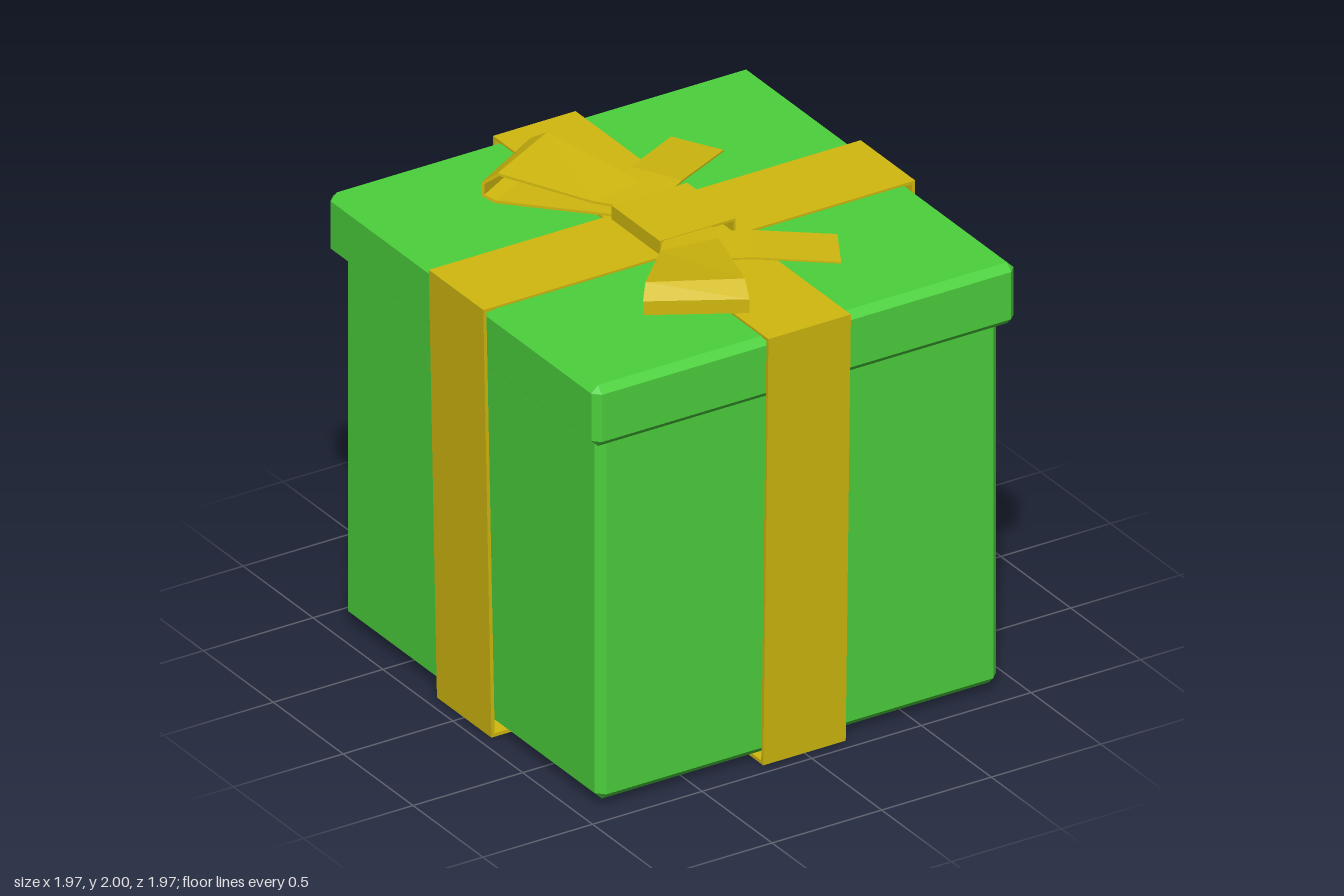
import * as THREE from 'three';
import { ConvexGeometry } from 'three/addons/geometries/ConvexGeometry.js';

const green = new THREE.MeshStandardMaterial({ color: 0x4bd03c, flatShading: true });
const gold = new THREE.MeshStandardMaterial({ color: 0xd0b80f, flatShading: true, side: THREE.DoubleSide });

const points = (list) => list.map(([x, y]) => new THREE.Vector2(x, y));

function addMesh(parent, name, geometry, material) {
  const mesh = new THREE.Mesh(geometry, material);
  mesh.name = name;
  parent.add(mesh);
  return mesh;
}

// Square box with every edge chamfered by c
function chamferBox(half, y0, y1, c) {
  const pts = [];
  for (const sx of [-1, 1]) for (const sz of [-1, 1]) for (const [y, sy] of [[y0, 1], [y1, -1]]) {
    pts.push(
      new THREE.Vector3(sx * half, y + sy * c, sz * (half - c)),
      new THREE.Vector3(sx * (half - c), y + sy * c, sz * half),
      new THREE.Vector3(sx * (half - c), y, sz * (half - c)));
  }
  return new ConvexGeometry(pts);
}

// Closed flat band: outer outline minus inner outline, centred on its width
function band(outer, inner, width) {
  const shape = new THREE.Shape(points(outer));
  shape.holes.push(new THREE.Path(points(inner)));
  const geometry = new THREE.ExtrudeGeometry(shape, { depth: width, bevelEnabled: false });
  return geometry.translate(0, 0, -width / 2);
}

// Side profile (t, y) swept across a four-cornered plan:
// a, b = left and right at t = 0; d, c = left and right at t = 1
function ribbonPiece(profile, a, b, c, d) {
  const geometry = new THREE.ExtrudeGeometry(new THREE.Shape(points(profile)), { depth: 1, bevelEnabled: false });
  const pos = geometry.attributes.position;
  for (let i = 0; i < pos.count; i++) {
    const t = pos.getX(i), w = pos.getZ(i);
    const at = (k) => (1 - w) * (a[k] + t * (d[k] - a[k])) + w * (b[k] + t * (c[k] - b[k]));
    pos.setXYZ(i, at(0), pos.getY(i), at(1));
  }
  geometry.computeVertexNormals();
  return geometry;
}

export function createModel() {
  const model = new THREE.Group();
  model.name = 'giftBox';

  // Box and overhanging lid
  addMesh(model, 'box', chamferBox(0.915, 0.025, 1.64, 0.033), green);
  addMesh(model, 'lid', chamferBox(0.963, 1.6, 1.866, 0.03), green);

  // Two ribbons wrapped right round, flaring towards the top
  const outer = [[-0.948, 0], [0.948, 0], [0.985, 1.875], [-0.985, 1.875]];
  const inner = [[-0.933, 0.015], [0.933, 0.015], [0.971, 1.862], [-0.971, 1.862]];
  addMesh(model, 'ribbonAcross', band(outer, inner, 0.39), gold);
  addMesh(model, 'ribbonFrontToBack', band(outer, inner, 0.376), gold).rotation.y = Math.PI / 2;

  // Bow on the lid
  const bow = new THREE.Group();
  bow.name = 'bow';
  bow.position.z = 0.007;
  model.add(bow);

  // Hollow knot
  addMesh(bow, 'knot', band(
    [[-0.17, 1.87], [0.175, 1.87], [0.175, 1.935], [-0.17, 1.935]],
    [[-0.16, 1.88], [0.165, 1.88], [0.165, 1.925], [-0.16, 1.925]], 0.345), gold);

  // Loop and tail, each mirrored front to back
  const loop = ribbonPiece([
    [0, 1.88], [0.9, 1.867], [1, 1.89], [1, 1.95], [0.88, 2], [0.17, 1.935], [0, 1.932],
    [0, 1.922], [0.17, 1.925], [0.87, 1.988], [0.98, 1.944], [0.98, 1.897], [0.89, 1.879], [0, 1.89],
  ], [-0.15, -0.17], [0.07, -0.17], [-0.15, -0.782], [-0.505, -0.577]);
  const tail = ribbonPiece([
    [0, 1.897], [0.4, 1.902], [1, 1.875], [1, 1.882], [0.4, 1.91], [0, 1.905],
  ], [-0.11, -0.325], [0, -0.13], [0.49, -0.407], [0.38, -0.608]);
  for (const [side, s] of [['Back', 1], ['Front', -1]]) {
    addMesh(bow, 'bowLoop' + side, loop, gold).scale.z = s;
    addMesh(bow, 'bowTail' + side, tail, gold).scale.z = s;
  }
  return model;
}
